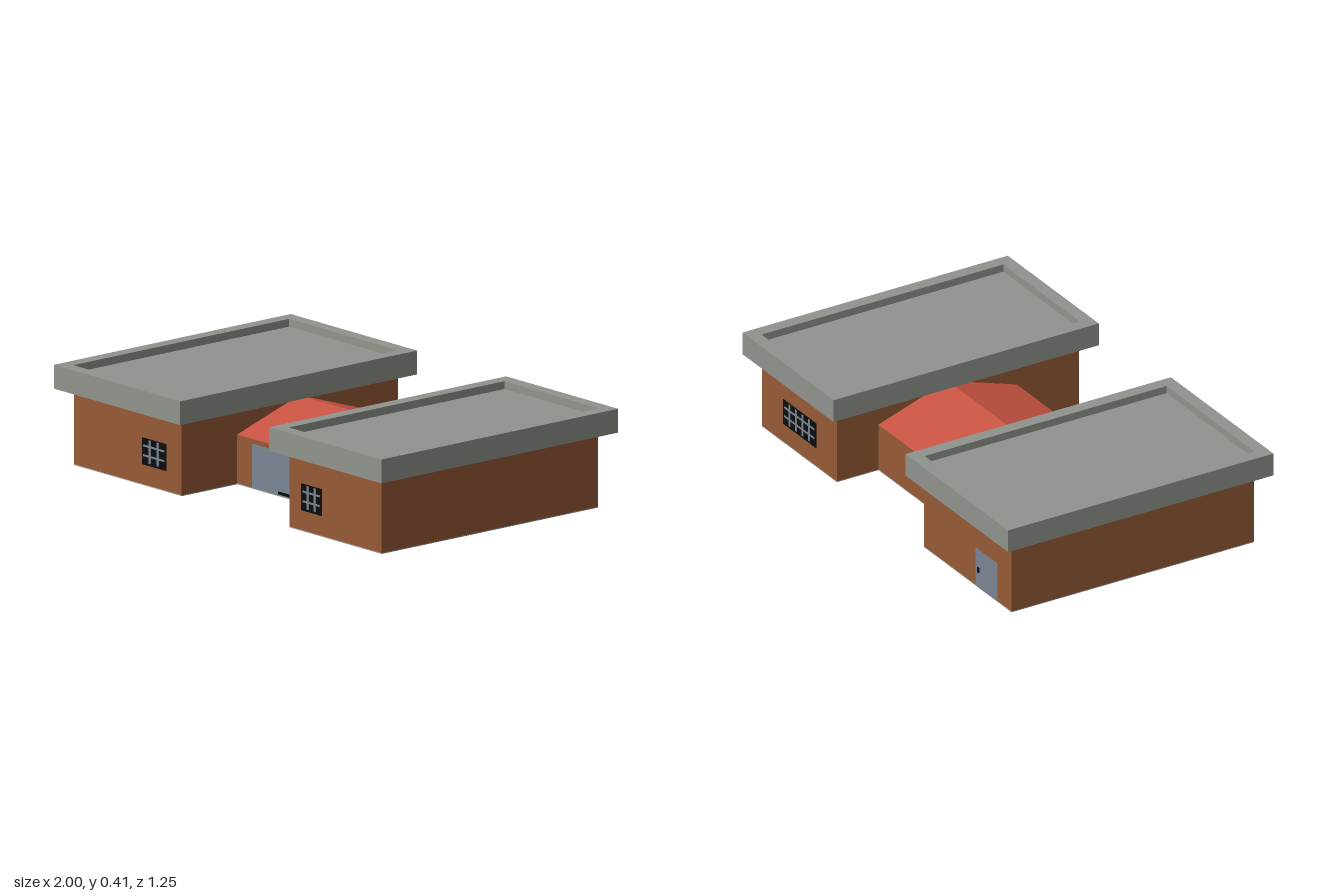
import * as THREE from 'three';

const mat = (name, color) => {
  const m = new THREE.MeshStandardMaterial({ color });
  m.name = name;
  return m;
};

export function createModel() {
  const model = new THREE.Group();
  model.name = 'building';
  const brick = mat('brown brick', 0x965a36);
  const concrete = mat('grey concrete', 0x91948d);
  const tile = mat('red roof', 0xc65242);
  const steel = mat('blue grey steel', 0x7b8595);
  const black = mat('black', 0x0c0c0c);
  const slab = mat('floor grey', 0xa8a8a8);

  // Box given by its limits on each axis
  const box = (name, material, [x0, x1], [y0, y1], [z0, z1], parent = model) => {
    const mesh = new THREE.Mesh(new THREE.BoxGeometry(x1 - x0, y1 - y0, z1 - z0), material);
    mesh.position.set((x0 + x1) / 2, (y0 + y1) / 2, (z0 + z1) / 2);
    mesh.name = name;
    parent.add(mesh);
    return mesh;
  };

  const FLOOR = 0.004, WALL = 0.312, TOP = 0.41, DECK = 0.378;

  // Flat roof: overhanging rim with a sunken deck
  const flatRoof = (name, [x0, x1], [z0, z1]) => {
    const roof = new THREE.Group();
    roof.name = name;
    const rim = 0.055;
    box('roofDeck', concrete, [x0, x1], [WALL, DECK], [z0, z1], roof);
    box('rimFront', concrete, [x0, x1], [DECK, TOP], [z1 - rim, z1], roof);
    box('rimBack', concrete, [x0, x1], [DECK, TOP], [z0, z0 + rim], roof);
    box('rimRight', concrete, [x0, x0 + rim], [DECK, TOP], [z0 + rim, z1 - rim], roof);
    box('rimLeft', concrete, [x1 - rim, x1], [DECK, TOP], [z0 + rim, z1 - rim], roof);
    model.add(roof);
  };

  // Two wings with flat roofs
  const wings = [
    { name: 'rightWing', x: [-0.94, -0.283], roof: [-1, -0.228] },
    { name: 'leftWing', x: [0.375, 0.937], roof: [0.315, 1] },
  ];
  for (const { name, x, roof } of wings) {
    box(name + 'Floor', slab, x, [0, FLOOR], [-0.57, 0.567]);
    box(name + 'Walls', brick, x, [FLOOR, WALL], [-0.57, 0.567]);
    flatRoof(name + 'Roof', roof, [-0.623, 0.622]);
  }

  // Lower connecting hall with a gable roof
  const hallX = [-0.283, 0.375];
  box('hallFloor', slab, hallX, [0, FLOOR], [-0.375, 0.275]);
  box('hallWalls', brick, hallX, [FLOOR, 0.205], [-0.375, 0.275]);
  const gable = new THREE.Shape([[-0.275, 0.205], [0.375, 0.205], [0.05, WALL]]
    .map(([u, y]) => new THREE.Vector2(u, y)));
  const hallRoof = new THREE.Mesh(
    new THREE.ExtrudeGeometry(gable, { depth: hallX[1] - hallX[0], bevelEnabled: false }), tile);
  hallRoof.rotation.y = Math.PI / 2;
  hallRoof.position.x = hallX[0];
  hallRoof.name = 'hallRoof';
  model.add(hallRoof);

  // Garage door and its handle
  box('garageDoor', steel, [-0.188, 0.275], [FLOOR, 0.185], [0.275, 0.278]);
  box('garageHandle', black, [-0.025, 0.097], [0.01, 0.021], [0.278, 0.282]);

  // Back door and its handle
  box('backDoor', steel, [-0.84, -0.675], [FLOOR, 0.172], [-0.573, -0.57]);
  box('doorHandle', black, [-0.703, -0.69], [0.072, 0.095], [-0.577, -0.573]);

  // Barred windows: black pane with steel bars; side is +1 front, -1 back
  const barredWindow = (name, [x0, x1], side, columns) => {
    const win = new THREE.Group();
    win.name = name;
    const wall = side > 0 ? 0.567 : -0.57;
    const layer = (a, b) => [wall + side * a, wall + side * b].sort((p, q) => p - q);
    const y0 = 0.086, y1 = 0.196, inset = 0.01;
    box('pane', black, [x0, x1], [y0, y1], layer(0, 0.003), win);
    for (let i = 1; i < columns; i++) {
      const x = x0 + (x1 - x0) * i / columns;
      box('uprightBar', steel, [x - 0.006, x + 0.006], [y0 + inset, y1 - 0.004], layer(0.003, 0.005), win);
    }
    for (const y of [0.125, 0.165])
      box('crossBar', steel, [x0 + inset, x1 - inset], [y - 0.004, y + 0.004], layer(0.003, 0.005), win);
    model.add(win);
  };
  barredWindow('frontRightWindow', [-0.522, -0.375], 1, 3);
  barredWindow('frontLeftWindow', [0.45, 0.575], 1, 3);
  barredWindow('backLeftWindow', [0.53, 0.775], -1, 5);

  return model;
}
